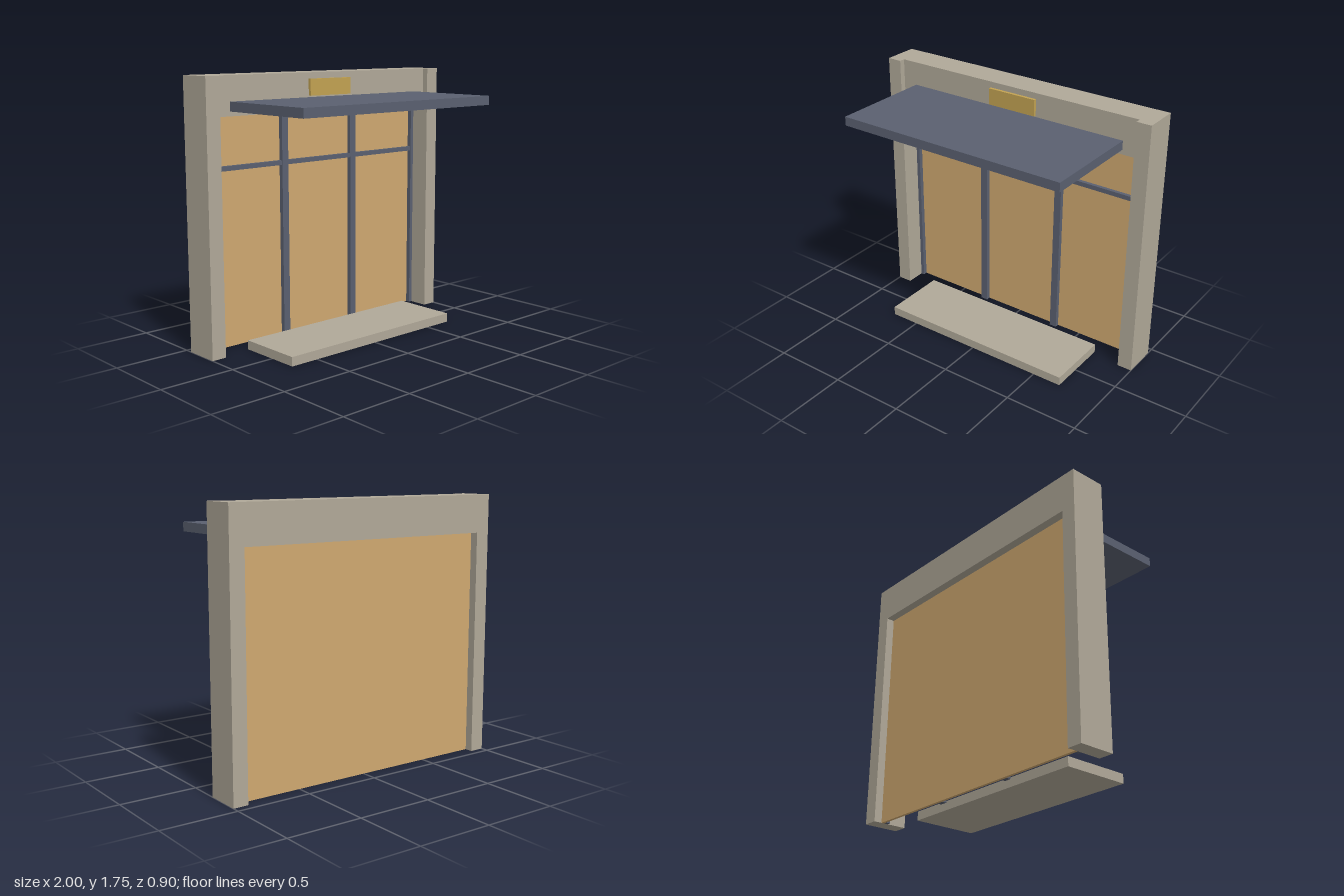
import * as THREE from 'three';

const material = (name, color) => {
  const m = new THREE.MeshStandardMaterial({ color });
  m.name = name;
  return m;
};

export function createModel() {
  const group = new THREE.Group();
  group.name = 'storefront';
  const stone = material('stone', 0xb0a898);
  const slate = material('slate', 0x5a6070);
  const amber = material('amberGlass', 0xcfa870);
  const brass = material('brass', 0xc2a252);

  // Box given by its extents on each axis
  const box = (name, mat, [x0, x1], [y0, y1], [z0, z1]) => {
    const mesh = new THREE.Mesh(new THREE.BoxGeometry(x1 - x0, y1 - y0, z1 - z0), mat);
    mesh.position.set((x0 + x1) / 2, (y0 + y1) / 2, (z0 + z1) / 2);
    mesh.name = name;
    group.add(mesh);
  };

  // Surround
  box('leftPost', stone, [0.9, 1], [0, 1.75], [-0.45, -0.21]);
  box('rightPost', stone, [-1, -0.9], [0, 1.75], [-0.45, -0.21]);
  box('lintel', stone, [-0.9, 0.9], [1.5, 1.75], [-0.45, -0.25]);

  // Glazing, recessed from both faces
  box('glassPanel', amber, [-0.9, 0.9], [0, 1.5], [-0.395, -0.375]);

  // Upright bars; the outer pair sits half-width against the posts
  for (const x of [-0.9, -0.3, 0.3, 0.9]) {
    box('mullion', slate, [Math.max(x - 0.025, -0.9), Math.min(x + 0.025, 0.9)], [0, 1.5], [-0.375, -0.345]);
  }
  // Crossbar between the uprights
  for (const x of [-0.6, 0, 0.6]) {
    box('transom', slate, [x - 0.275, x + 0.275], [1.15, 1.18], [-0.375, -0.35]);
  }

  // Canopy, sign plate and doorstep
  box('canopy', slate, [-0.8, 0.8], [1.53, 1.59], [-0.25, 0.45]);
  box('signPlate', brass, [-0.175, 0.175], [1.6, 1.71], [-0.25, -0.23]);
  box('doorstep', stone, [-0.7, 0.7], [0, 0.06], [-0.25, 0.2]);

  return group;
}
